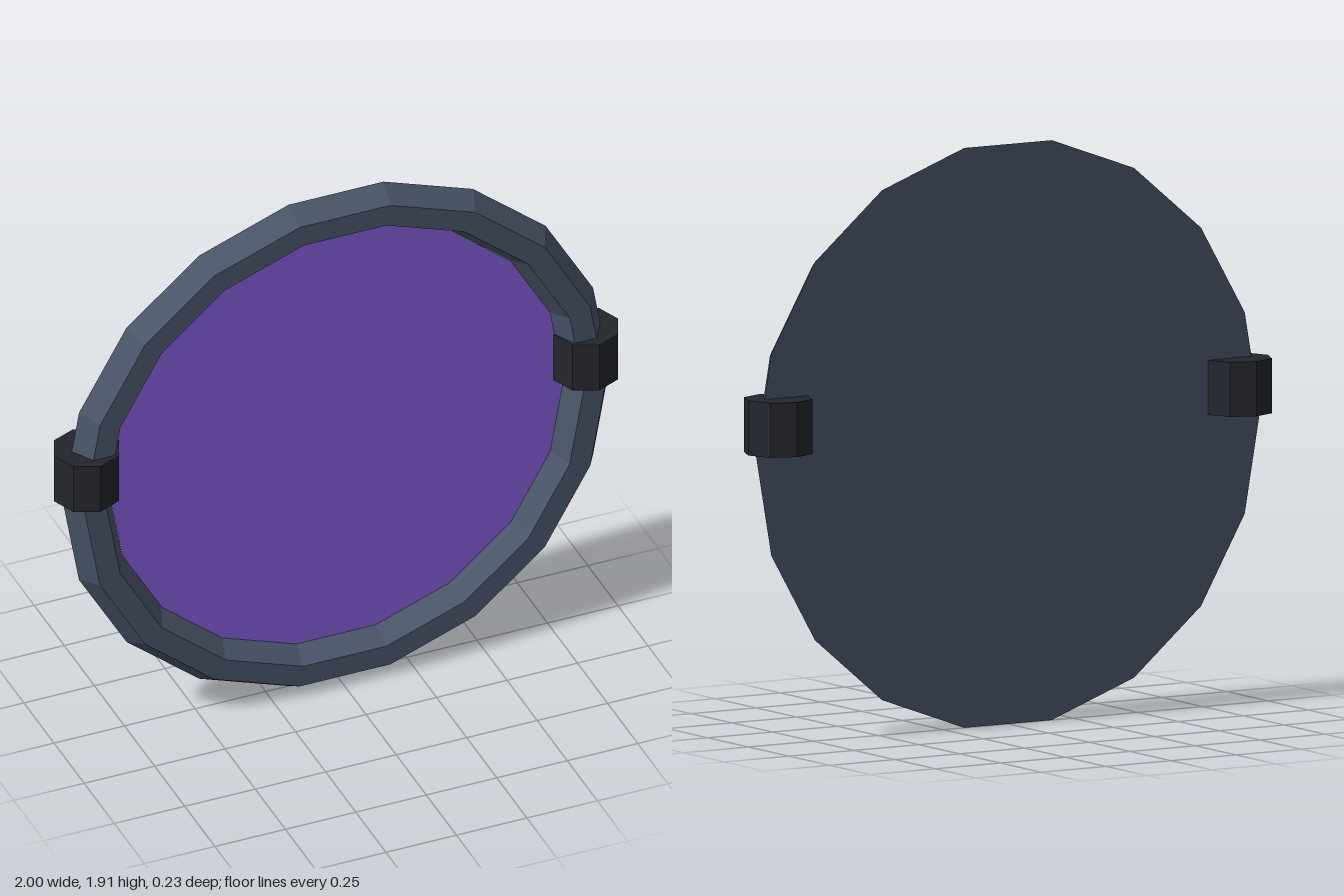
import * as THREE from 'three';

const SIDES = 18;
const CENTRE_Y = 0.955;

function material(color) {
  return new THREE.MeshStandardMaterial({ color, flatShading: true });
}

function addMesh(parent, name, geometry, mat, x, y, z) {
  const mesh = new THREE.Mesh(geometry, mat);
  mesh.name = name;
  mesh.position.set(x, y, z);
  parent.add(mesh);
  return mesh;
}

export function createModel() {
  const group = new THREE.Group();
  group.name = 'roundFrame';

  // Shallow dish: closed back, bevelled outer edge, flat lip, sloping inner wall
  const profile = [
    [0, 0], [0.97, 0], [0.925, 0.075], [0.848, 0.075], [0.807, 0],
  ].map(([r, z]) => new THREE.Vector2(r, z));
  const frame = new THREE.LatheGeometry(profile, SIDES, Math.PI / 2);
  frame.rotateX(Math.PI / 2);
  addMesh(group, 'frame', frame, material(0x4a5568), 0, CENTRE_Y, 0);

  // Coloured pane lying on the floor of the dish
  const pane = new THREE.CircleGeometry(0.807, SIDES);
  addMesh(group, 'pane', pane, material(0x805ad5), 0, CENTRE_Y, 0.002);

  // Octagonal pivots, one on each side
  const pivot = new THREE.CylinderGeometry(0.115, 0.115, 0.18, 8);
  const pivotMaterial = material(0x23262d);
  for (const side of [-1, 1]) {
    addMesh(group, side > 0 ? 'leftPivot' : 'rightPivot', pivot, pivotMaterial, side * 0.885, 1.05, 0);
  }

  return group;
}
